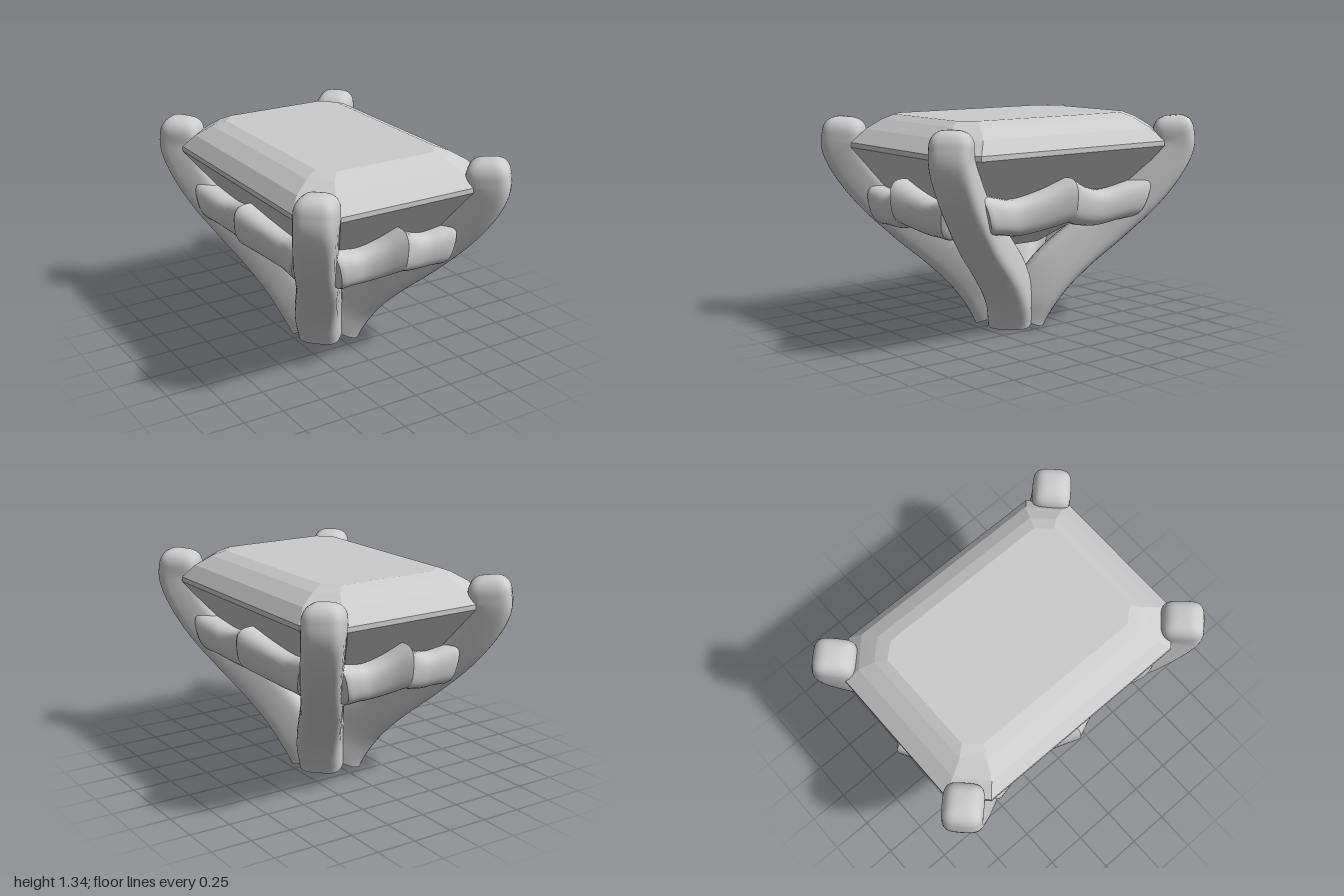
import * as THREE from 'three';
import { toCreasedNormals } from 'three/addons/utils/BufferGeometryUtils.js';

const material = new THREE.MeshStandardMaterial({ color: 0xcccccc, roughness: 0.6 });
const V = (x, y, z) => new THREE.Vector3(x, y, z);
const power = (v, e) => Math.sign(v) * Math.abs(v) ** e;

// Skin a list of rings, each running right-handed about the direction of travel.
function loft(rings, crease, flip = false) {
  const n = rings[0].length, pos = [], index = [];
  const tri = (a, b, c) => (flip ? index.push(a, c, b) : index.push(a, b, c));
  rings.forEach((r) => r.forEach((p) => pos.push(p.x, p.y, p.z)));
  for (let i = 0; i < rings.length - 1; i++) {
    for (let j = 0; j < n; j++) {
      const a = i * n + j, b = i * n + (j + 1) % n;
      tri(a, b, b + n);
      tri(a, b + n, a + n);
    }
  }
  // end caps
  [[rings[0], 0], [rings[rings.length - 1], (rings.length - 1) * n]].forEach(([ring, start], end) => {
    const c = ring.reduce((s, p) => s.add(p), V(0, 0, 0)).divideScalar(n);
    const k = pos.length / 3;
    pos.push(c.x, c.y, c.z);
    for (let j = 0; j < n; j++) {
      const a = start + j, b = start + (j + 1) % n;
      if (end) tri(k, a, b); else tri(k, b, a);
    }
  });
  const g = new THREE.BufferGeometry();
  g.setAttribute('position', new THREE.Float32BufferAttribute(pos, 3));
  g.setIndex(index);
  return toCreasedNormals(g, crease);
}

function addMesh(group, name, geometry) {
  const mesh = new THREE.Mesh(geometry, material);
  mesh.name = name;
  group.add(mesh);
  return mesh;
}

// Step-cut stone: eight-sided levels of height, half width, half depth and corner cuts
function gemGeometry() {
  const levels = [
    [0.45, 0.002, 0.22, 0.001, 0.001],
    [0.6, 0.2, 0.42, 0.05, 0.05],
    [0.8, 0.43, 0.67, 0.1, 0.1],
    [1.09, 0.65, 0.88, 0.2, 0.18],
    [1.12, 0.65, 0.88, 0.2, 0.18],
    [1.2, 0.585, 0.79, 0.16, 0.15],
    [1.26, 0.49, 0.7, 0.11, 0.11],
    [1.29, 0.41, 0.64, 0.08, 0.09],
  ];
  const rings = levels.map(([y, w, d, cx, cz]) => [
    [w - cx, d], [w, d - cz], [w, cz - d], [w - cx, -d],
    [cx - w, -d], [-w, cz - d], [-w, d - cz], [cx - w, d],
  ].map(([x, z]) => V(x, y, z)));
  return loft(rings, 0.01);
}

// Curved claw: rounded-square section swept from a stout foot, with a domed tip
function prongGeometry(sx, sz) {
  const path = new THREE.CatmullRomCurve3([
    V(0.065, 0, 0.045), V(0.08, 0.05, 0.06), V(0.125, 0.16, 0.105), V(0.183, 0.3, 0.195),
    V(0.265, 0.45, 0.335), V(0.365, 0.6, 0.5), V(0.49, 0.8, 0.685), V(0.567, 1.0, 0.815),
    V(0.585, 1.1, 0.853), V(0.58, 1.17, 0.848),
  ]);
  const side = V(1, 0, -1).normalize();
  const rings = [];
  const addRing = (centre, tangent, scale) => {
    const out = side.clone().cross(tangent).normalize();
    const ring = [];
    for (let j = 0; j < 32; j++) {
      const a = (j / 32) * Math.PI * 2;
      const p = centre.clone()
        .addScaledVector(out, 0.125 * scale * power(Math.cos(a), 0.52))
        .addScaledVector(side, 0.116 * scale * power(Math.sin(a), 0.52));
      ring.push(V(p.x * sx, p.y, p.z * sz));
    }
    rings.push(ring);
  };
  for (let i = 0; i <= 48; i++) {
    const p = path.getPoint(i / 48);
    const tangent = i === 0 ? V(0, 1, 0) : path.getTangent(i / 48);
    addRing(p, tangent, 1.2 - 0.17 * THREE.MathUtils.smoothstep(p.y, 0.25, 0.8));
  }
  const end = path.getPoint(1), dir = path.getTangent(1);
  for (let i = 1; i <= 10; i++) {
    const a = (i / 10) * 1.55;
    addRing(end.clone().addScaledVector(dir, 0.1 * Math.sin(a)), dir, 1.03 * Math.cos(a) ** 0.65);
  }
  return loft(rings, 0.9, sx * sz < 0);
}

// Peaked gallery rail along x, its middle leaning out towards +z, with rounded ends
function railGeometry(halfLength, out, endY) {
  // position along the half rail, height of the middle, half height
  const half = new THREE.CatmullRomCurve3([
    V(0, 0.805, 0.135), V(0.26, 0.748, 0.12), V(0.55, 0.718, 0.112),
    V(0.8, (0.72 + endY) / 2, 0.115), V(1, endY, 0.125),
  ]);
  const rings = [];
  for (let i = -23; i <= 23; i++) {
    const p = half.getPoint(Math.min(1, Math.abs(i) / 20));
    const round = Math.max(0, Math.abs(i) - 20) / 3;
    const size = 1 - 0.3 * round * round;
    const ring = [];
    for (let j = 0; j < 28; j++) {
      const a = (j / 28) * Math.PI * 2;
      const v = p.z * size * power(Math.cos(a), 0.75);
      const w = 0.108 * size * power(Math.sin(a), 0.75);
      const x = Math.sign(i) * (p.x * halfLength * (1 + 0.6 * v) + 0.03 * Math.sqrt(round));
      ring.push(V(x, p.y + v, out + 1.2 * (p.y - 0.72) + 0.1 * v + w));
    }
    rings.push(ring);
  }
  return loft(rings, 0.65);
}

export function createModel() {
  const model = new THREE.Group();
  model.name = 'stoneSetting';

  addMesh(model, 'gemstone', gemGeometry());

  // four claws
  for (const sx of [1, -1]) {
    for (const sz of [1, -1]) {
      const name = (sz > 0 ? 'front' : 'back') + (sx > 0 ? 'Left' : 'Right') + 'Prong';
      addMesh(model, name, prongGeometry(sx, sz));
    }
  }

  // four rails between the claws
  const shortRail = railGeometry(0.375, 0.675, 0.735);
  const longRail = railGeometry(0.595, 0.44, 0.77);
  ['frontRail', 'leftRail', 'backRail', 'rightRail'].forEach((name, i) => {
    addMesh(model, name, i % 2 ? longRail : shortRail).rotation.y = (i * Math.PI) / 2;
  });

  return model;
}
